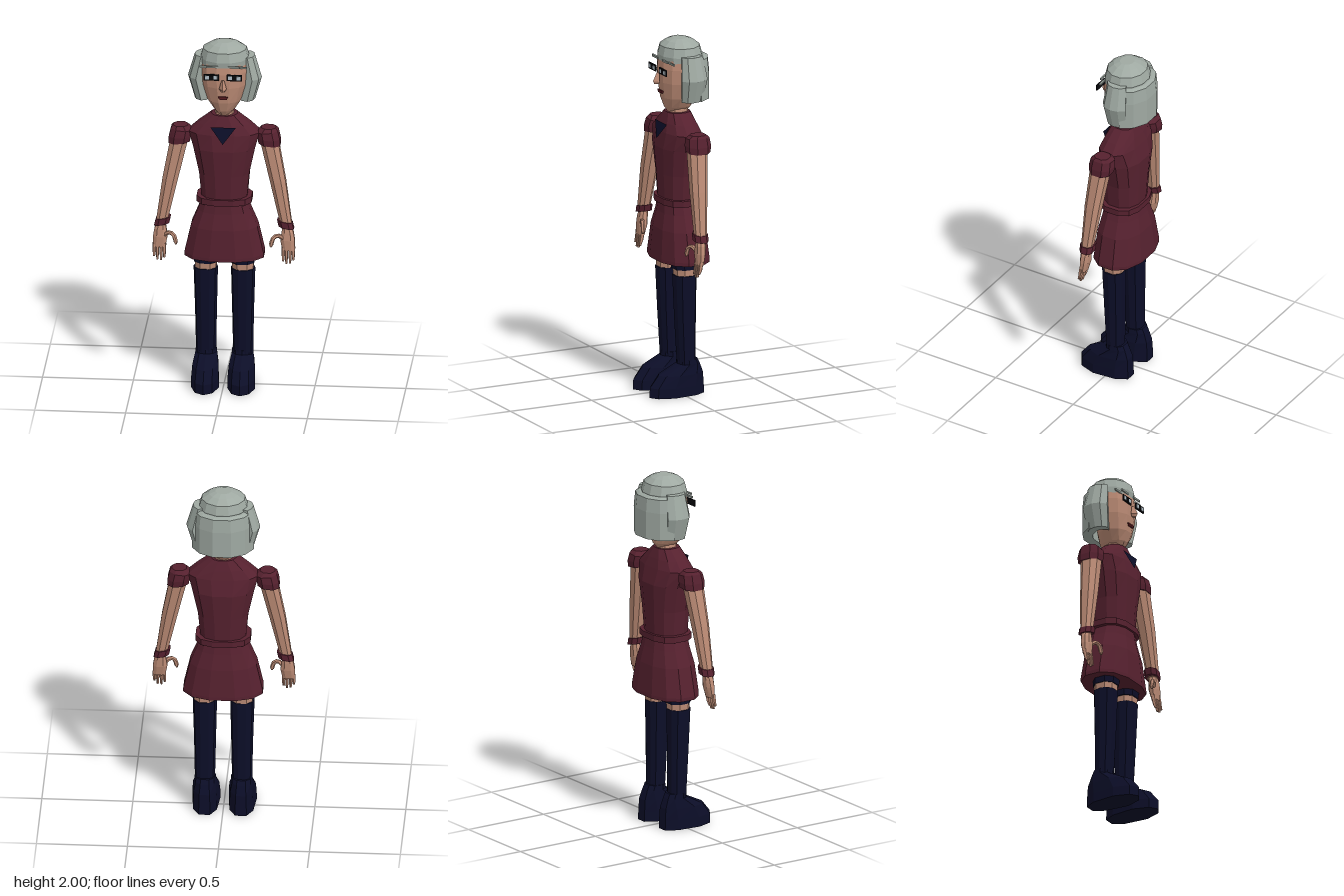
import * as THREE from 'three';

const mat = (name, color, extra = {}) => new THREE.MeshStandardMaterial({ name, color, flatShading: true, ...extra });

// Point ring at height y, spanning x0..x1 and z0..z1; slope tilts it along x
function ring(y, x0, x1, z0, z1, n = 8, slope = 0, power = 0.85) {
  const soft = v => Math.sign(v) * Math.abs(v) ** power;
  return Array.from({ length: n }, (_, i) => {
    const a = (i + 0.5) / n * Math.PI * 2;
    const dx = soft(Math.sin(a)) * (x1 - x0) / 2;
    return new THREE.Vector3((x0 + x1) / 2 + dx, y + dx * slope, (z0 + z1) / 2 + soft(Math.cos(a)) * (z1 - z0) / 2);
  });
}

// Closed skin over a row of equal rings, with faces turned outward
function loft(rings) {
  const tris = [], n = rings[0].length;
  for (let j = 0; j + 1 < rings.length; j++) {
    for (let i = 0; i < n; i++) {
      const k = (i + 1) % n, a = rings[j][i], b = rings[j][k], c = rings[j + 1][k], d = rings[j + 1][i];
      tris.push([a, b, c], [a, c, d]);
    }
  }
  const middle = r => r.reduce((s, p) => s.add(p), new THREE.Vector3()).divideScalar(n);
  const first = rings[0], last = rings[rings.length - 1], m0 = middle(first), m1 = middle(last);
  for (let i = 0; i < n; i++) {
    const k = (i + 1) % n;
    tris.push([first[k], first[i], m0], [last[i], last[k], m1]);
  }
  const volume = tris.reduce((s, [a, b, c]) => s + a.dot(new THREE.Vector3().crossVectors(b, c)), 0);
  const pts = tris.flatMap(t => (volume < 0 ? [t[0], t[2], t[1]] : t));
  const geo = new THREE.BufferGeometry().setFromPoints(pts);
  geo.computeVertexNormals();
  return geo;
}

export function createModel() {
  const model = new THREE.Group();
  model.name = 'standingFigure';
  const skin = mat('skin', 0xbd8c76), dress = mat('dressRed', 0x56212f), navy = mat('navy', 0x0c0e28);
  const hair = mat('greyHair', 0x9fa9a2), black = mat('black', 0x08080c), lens = mat('lens', 0xb4c0c8);
  const lips = mat('lips', 0x581c20);
  const collarBlue = navy.clone();
  collarBlue.side = THREE.DoubleSide;

  const add = (name, geo, material, parent = model) => {
    const mesh = new THREE.Mesh(geo, material);
    mesh.name = name;
    parent.add(mesh);
    return mesh;
  };
  // Symmetric body rings from rows of [y, half width, back, front]
  const body = (name, rows, material, n = 12, power = 0.85) =>
    add(name, loft(rows.map(([y, w, b, f]) => ring(y, -w, w, b, f, n, 0, power))), material);
  const plate = (name, x, y, z, w, h, d, material) =>
    add(name, new THREE.BoxGeometry(w, h, d), material).position.set(x, y, z);

  // Dress and belt
  body('bodice', [[1.08, 0.127, -0.135, 0.073], [1.24, 0.142, -0.145, 0.083], [1.39, 0.175, -0.153, 0.092],
    [1.48, 0.2, -0.13, 0.077], [1.53, 0.145, -0.115, 0.062], [1.585, 0.073, -0.095, 0.042]], dress);
  body('belt', [[1.07, 0.155, -0.15, 0.086], [1.105, 0.155, -0.15, 0.086]], dress, 12, 0.75);
  body('skirt', [[0.75, 0.225, -0.178, 0.11], [0.77, 0.225, -0.178, 0.11], [0.93, 0.188, -0.163, 0.098],
    [1.02, 0.15, -0.145, 0.08], [1.085, 0.127, -0.135, 0.073]], dress);

  // Triangular neck patch
  const patch = new THREE.BufferGeometry().setFromPoints([[-0.07, 1.53, 0.073], [0, 1.44, 0.102], [0.07, 1.53, 0.073]]
    .map(p => new THREE.Vector3(...p)));
  patch.computeVertexNormals();
  add('neckPatch', patch, collarBlue);

  // Neck and head
  body('neck', [[1.56, 0.055, -0.085, 0.03], [1.66, 0.045, -0.085, 0.025]], skin, 10);
  body('head', [[1.585, 0.035, -0.085, 0.03], [1.615, 0.06, -0.11, 0.05], [1.67, 0.095, -0.12, 0.068],
    [1.76, 0.122, -0.13, 0.08], [1.84, 0.13, -0.135, 0.082], [1.9, 0.128, -0.135, 0.074]], skin, 12, 0.95);

  // Hair cap
  body('hairCap', [[1.875, 0.136, -0.16, 0.077], [1.91, 0.137, -0.165, 0.081], [1.96, 0.122, -0.15, 0.068],
    [1.987, 0.08, -0.115, 0.035], [2, 0.045, -0.08, 0.0]], hair, 12, 1);

  // Curved hair panels: a [scale, y] profile carried along plan points
  const panel = (name, plan, profile) => add(name, loft(plan.map(([x, z]) =>
    profile.map(([k, y]) => new THREE.Vector3(x * k, y, -0.045 + (z + 0.045) * k)))), hair);
  panel('backHair', [[0.17, -0.09], [0.125, -0.157], [0.05, -0.196], [-0.05, -0.196], [-0.125, -0.157], [-0.17, -0.09]],
    [[0.84, 1.905], [0.95, 1.895], [1, 1.82], [1, 1.665], [0.65, 1.665], [0.65, 1.905]]);

  // Face
  const nose = new THREE.Group();
  nose.name = 'nose';
  model.add(nose);
  const v = (...p) => new THREE.Vector3(...p);
  add('noseRidge', loft([[v(-0.007, 1.815, 0.088), v(0.007, 1.815, 0.088), v(0, 1.815, 0.1)],
    [v(-0.021, 1.765, 0.092), v(0.021, 1.765, 0.092), v(0, 1.768, 0.122)],
    [v(-0.012, 1.75, 0.092), v(0.012, 1.75, 0.092), v(0, 1.752, 0.115)]]), skin, nose);
  plate('upperLip', 0, 1.709, 0.077, 0.056, 0.008, 0.008, lips);
  plate('lowerLip', 0, 1.701, 0.076, 0.044, 0.008, 0.008, lips);

  for (const s of [1, -1]) {
    const side = s > 0 ? 'left' : 'right';
    const limb = (name, rows, material, n = 8) => add(side + name, loft(rows.map(([y, x0, x1, z0, z1, tilt = 0]) =>
      ring(y, x0, x1, z0, z1, n, tilt).map(p => v(p.x * s, p.y, p.z)))), material);

    // Side hair
    panel(side + 'Hair', [[0.155, 0.022], [0.19, -0.005], [0.203, -0.05], [0.193, -0.095], [0.165, -0.13]]
      .map(([x, z]) => [x * s, z]), [[0.82, 1.918], [1, 1.79], [0.82, 1.662], [0.6, 1.662], [0.65, 1.79], [0.6, 1.918]]);

    // Framed eye and brow
    plate(side + 'EyeFrame', s * 0.064, 1.832, 0.093, 0.084, 0.036, 0.006, black);
    for (const dx of [-0.021, 0.021]) plate(side + 'Lens', s * 0.064 + dx, 1.832, 0.097, 0.026, 0.02, 0.004, lens);
    plate(side + 'Pupil', s * 0.064, 1.832, 0.098, 0.025, 0.024, 0.004, black);
    plate(side + 'BrowInner', s * 0.06, 1.887, 0.077, 0.064, 0.01, 0.008, hair);
    plate(side + 'BrowOuter', s * 0.09, 1.88, 0.058, 0.08, 0.01, 0.009, hair);

    // Sleeve, arm and cuff
    limb('Sleeve', [[1.41, 0.185, 0.312, -0.095, 0.04, -0.1], [1.445, 0.18, 0.31, -0.1, 0.043, -0.05],
      [1.485, 0.175, 0.298, -0.095, 0.035, 0.1], [1.505, 0.2, 0.285, -0.075, 0.015]], dress);
    limb('Arm', [[0.93, 0.315, 0.372, -0.025, 0.035, -0.15], [0.97, 0.303, 0.374, -0.03, 0.04, -0.15],
      [1.2, 0.25, 0.342, -0.055, 0.042], [1.43, 0.195, 0.3, -0.08, 0.035]], skin);
    limb('Cuff', [[0.932, 0.298, 0.388, -0.038, 0.047, -0.2], [0.97, 0.29, 0.378, -0.038, 0.047, -0.2]], dress);

    // Hand with fingers and thumb
    limb('Palm', [[0.8, 0.32, 0.393, 0.0, 0.036], [0.86, 0.308, 0.393, -0.015, 0.04], [0.905, 0.315, 0.385, -0.018, 0.036],
      [0.94, 0.322, 0.368, -0.018, 0.03]], skin);
    [[0.327, 0.742], [0.345, 0.727], [0.365, 0.73], [0.383, 0.75]].forEach(([x, tip], i) =>
      limb('Finger' + (i + 1), [[tip, x - 0.006, x + 0.006, 0.028, 0.042], [0.77, x - 0.009, x + 0.009, 0.016, 0.038],
        [0.82, x - 0.01, x + 0.01, 0.005, 0.032]], skin, 5));
    const bend = new THREE.CatmullRomCurve3([v(s * 0.33, 0.865, 0.02), v(s * 0.3, 0.89, 0.035),
      v(s * 0.275, 0.88, 0.045), v(s * 0.262, 0.84, 0.05)]);
    add(side + 'Thumb', new THREE.TubeGeometry(bend, 6, 0.012, 6), skin);
    limb('ThumbTip', [[0.828, 0.256, 0.267, 0.045, 0.056], [0.845, 0.251, 0.275, 0.038, 0.061]], skin, 6);

    // Shorts, leg and sock
    limb('ShortsLeg', [[0.715, 0.03, 0.17, -0.09, 0.05], [0.78, 0.03, 0.17, -0.09, 0.055]], navy);
    limb('Thigh', [[0.65, 0.043, 0.162, -0.08, 0.04], [0.74, 0.037, 0.167, -0.085, 0.045]], skin);
    limb('Sock', [[0.17, 0.047, 0.157, -0.078, 0.02], [0.42, 0.042, 0.162, -0.08, 0.035],
      [0.68, 0.036, 0.17, -0.083, 0.047]], navy, 10);

    // Shoe with a pointed toe: rows of [y, half width, heel, toe]
    const shape = [[0, 1], [0.62, 0.9], [1, 0.62], [0.85, 0.2], [0.4, 0], [-0.4, 0], [-0.85, 0.2], [-1, 0.62], [-0.62, 0.9]];
    const shoe = [[0, 0.077, -0.125, 0.195], [0.055, 0.076, -0.123, 0.193], [0.12, 0.072, -0.119, 0.14],
      [0.175, 0.06, -0.1, 0.025], [0.2, 0.058, -0.088, 0.022]];
    add(side + 'Shoe', loft(shoe.map(([y, w, heel, toe]) =>
      shape.map(([x, t]) => v(s * 0.1 + x * w, y, heel + (toe - heel) * t)))), navy);
  }
  return model;
}
